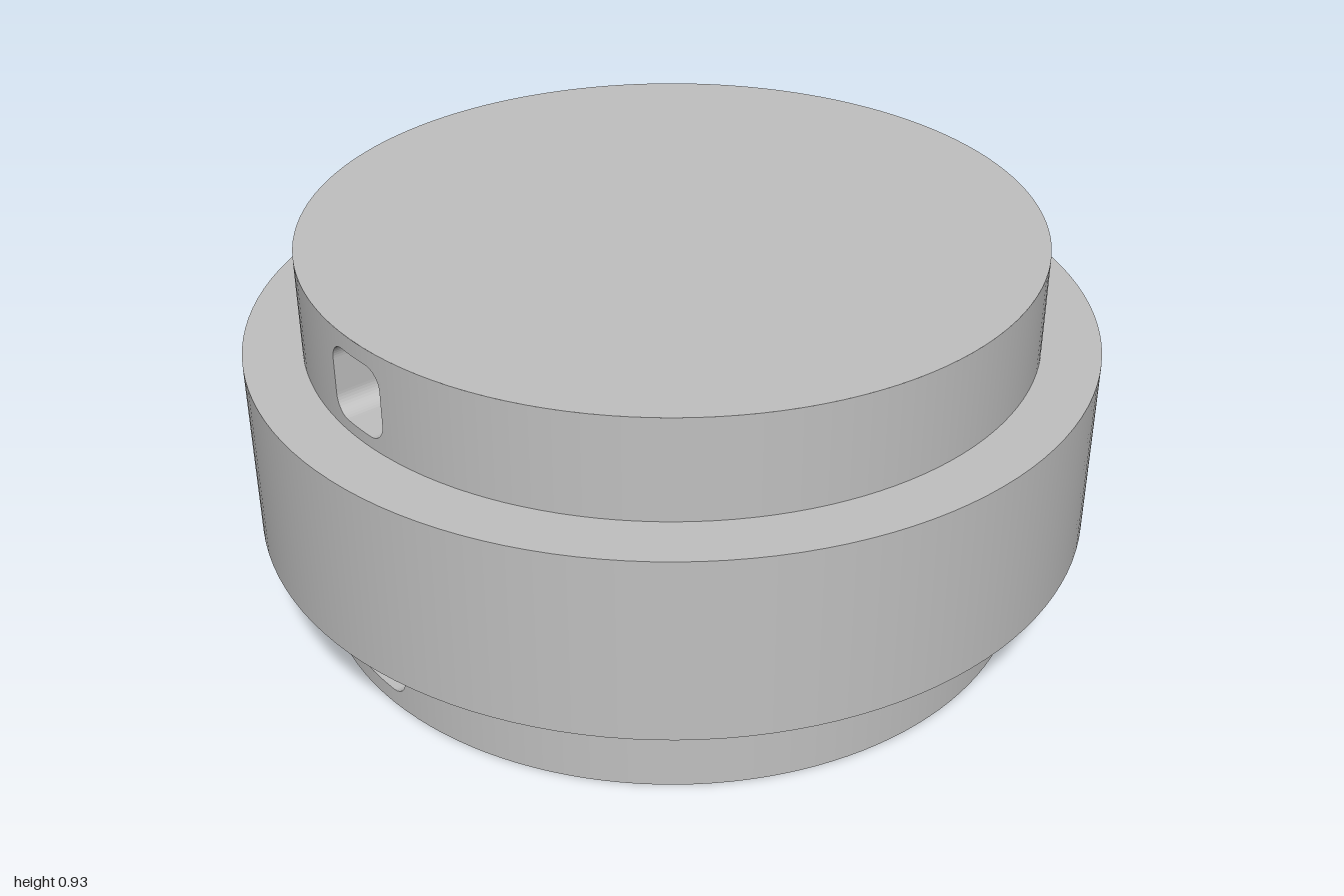
import * as THREE from 'three';

const R = 0.863, HEIGHT = 0.93;          // inner drum radius, total height
const BAND_LOW = 0.242, BAND_HIGH = 0.688;
const W = 0.09, H = 0.087, CORNER = 0.045; // socket half width, half height, corner radius
const FLOOR_Z = 0.56;                    // socket floor
const COLUMNS = 32;

const metal = new THREE.MeshStandardMaterial({ color: 0xc0c0c0 });
metal.name = 'light grey';

const onDrum = (x, y) => [x, y, Math.sqrt(R * R - x * x)];

// Geometry from quads, each four corners counter-clockwise
function fromQuads(quads) {
  const pos = [];
  for (const [a, b, c, d] of quads) pos.push(...a, ...b, ...c, ...a, ...c, ...d);
  const g = new THREE.BufferGeometry();
  g.setAttribute('position', new THREE.Float32BufferAttribute(pos, 3));
  g.computeVertexNormals();
  return g;
}

function add(parent, name, geometry) {
  const mesh = new THREE.Mesh(geometry, metal);
  mesh.name = name;
  parent.add(mesh);
  return mesh;
}

// Columns across the rounded opening, closer together near its corners
const columns = Array.from({ length: COLUMNS + 1 }, (_, i) => {
  const x = -W * Math.cos(Math.PI * i / COLUMNS);
  const d = Math.max(0, Math.abs(x) - (W - CORNER));
  return [x, H - CORNER + Math.sqrt(Math.max(0, CORNER * CORNER - d * d))];
});

// Front face around a socket, with the socket's walls and floor
function createSocket(cy, low, high) {
  const group = new THREE.Group();
  group.name = 'socket';
  const face = [];
  for (let i = 0; i < COLUMNS; i++) {
    const [x0, h0] = columns[i], [x1, h1] = columns[i + 1];
    face.push([onDrum(x0, cy + h0), onDrum(x1, cy + h1), onDrum(x1, high), onDrum(x0, high)]);
    face.push([onDrum(x0, low), onDrum(x1, low), onDrum(x1, cy - h1), onDrum(x0, cy - h0)]);
  }
  add(group, 'socketSurround', fromQuads(face));

  const ring = [
    ...columns.map(([x, h]) => [x, cy - h]),
    ...columns.slice().reverse().map(([x, h]) => [x, cy + h]),
  ];
  const walls = ring.map(([x0, y0], i) => {
    const [x1, y1] = ring[(i + 1) % ring.length];
    return [onDrum(x0, y0), onDrum(x1, y1), [x1, y1, FLOOR_Z], [x0, y0, FLOOR_Z]];
  });
  add(group, 'socketWalls', fromQuads(walls));

  const shape = new THREE.Shape(ring.map(([x, y]) => new THREE.Vector2(x, y)));
  add(group, 'socketFloor', new THREE.ShapeGeometry(shape)).position.z = FLOOR_Z;
  return group;
}

// Narrow drum with a socket at the front and the back
function createDrum(name, low, high, cy) {
  const drum = new THREE.Group();
  drum.name = name;
  const gap = Math.asin(W / R);
  for (const turn of [0, Math.PI]) {
    const side = add(drum, 'drumSide', new THREE.CylinderGeometry(
      R, R, high - low, 64, 1, true, gap + turn, Math.PI - 2 * gap));
    side.position.y = (low + high) / 2;
    const socket = createSocket(cy, low, high);
    socket.rotation.y = turn;
    drum.add(socket);
  }
  return drum;
}

export function createModel() {
  const model = new THREE.Group();
  model.name = 'steppedDrum';

  // Wide middle band
  const band = add(model, 'middleBand',
    new THREE.CylinderGeometry(1, 1, BAND_HIGH - BAND_LOW, 128));
  band.position.y = (BAND_LOW + BAND_HIGH) / 2;

  // Upper and lower drums
  model.add(createDrum('upperDrum', BAND_HIGH, HEIGHT, 0.803));
  model.add(createDrum('lowerDrum', 0, BAND_LOW, 0.127));

  // End caps
  const top = add(model, 'topCap', new THREE.CircleGeometry(R, 128));
  top.rotation.x = -Math.PI / 2;
  top.position.y = HEIGHT;
  const bottom = add(model, 'bottomCap', new THREE.CircleGeometry(R, 128));
  bottom.rotation.x = Math.PI / 2;

  return model;
}
